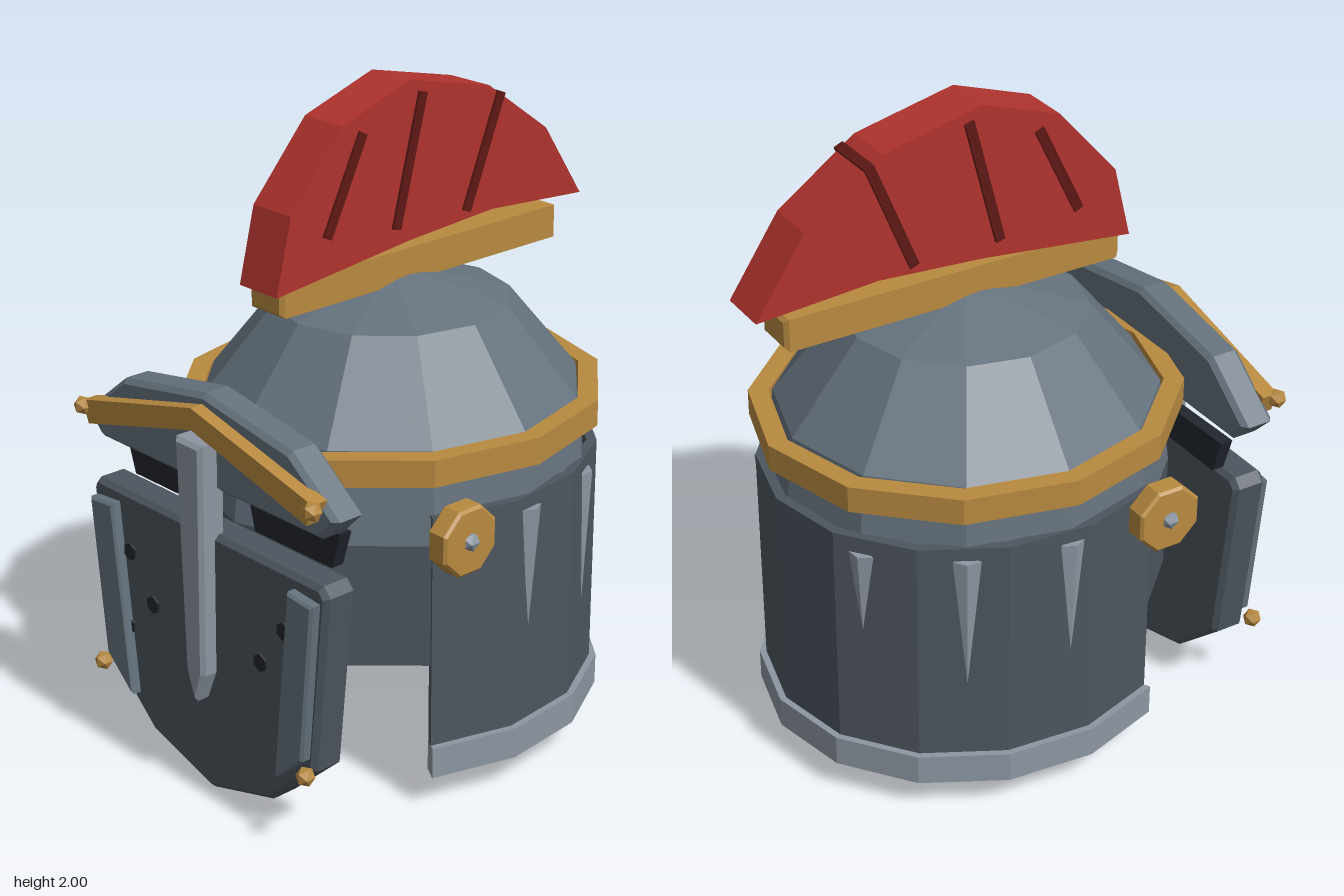
import * as THREE from 'three';

const CZ = -0.035; // centre of the bowl along z
const mat = (color) => new THREE.MeshStandardMaterial({ color, flatShading: true, side: THREE.DoubleSide });
const STEEL = mat(0x65727d), DARK = mat(0x4d565f), BRIGHT = mat(0x8d97a2);
const GOLD = mat(0xb88a40), RED = mat(0xb0332d), MAROON = mat(0x5e1815), BLACK = mat(0x22262e);

export function createModel() {
  const model = new THREE.Group();

  const add = (name, geometry, material, x = 0, y = 0, z = 0) => {
    const mesh = new THREE.Mesh(geometry, material);
    mesh.name = name;
    mesh.position.set(x, y, z);
    model.add(mesh);
    return mesh;
  };

  const shapeOf = (pts) => new THREE.Shape(pts.map(([x, y]) => new THREE.Vector2(x, y)));

  // Slab with chamfered edges, from z0 to z1
  const plate = (pts, z0, z1, bevel = 0.012) =>
    new THREE.ExtrudeGeometry(shapeOf(pts), {
      depth: z1 - z0 - 2 * bevel, bevelEnabled: bevel > 0,
      bevelSize: bevel, bevelThickness: bevel, bevelOffset: -bevel, bevelSegments: 1,
    }).translate(0, 0, z0 + bevel);

  // Half outline, top centre to bottom centre, mirrored across x = 0
  const mirrored = (half) => [
    ...half,
    ...half.filter(([x]) => x !== 0).reverse().map(([x, y]) => [-x, y]),
  ];

  // Upright elliptical wall; angles in degrees, 0 = +x, 90 = back
  const wall = (rx, rz, thick, y0, y1, a0, a1, n) => {
    const outer = [], inner = [];
    for (let i = 0; i <= n; i++) {
      const a = THREE.MathUtils.degToRad(a0 + ((a1 - a0) * i) / n);
      outer.push([rx * Math.cos(a), rz * Math.sin(a)]);
      inner.unshift([(rx - thick) * Math.cos(a), (rz - thick) * Math.sin(a)]);
    }
    return new THREE.ExtrudeGeometry(shapeOf([...outer, ...inner]), { depth: y1 - y0, bevelEnabled: false })
      .rotateX(-Math.PI / 2).translate(0, y0, CZ);
  };

  // Bowl, face wall, neck guard and rims
  const profile = [[0.575, 0.82], [0.55, 1.02], [0.543, 1.09], [0.34, 1.35], [0, 1.45]];
  const dome = new THREE.LatheGeometry(profile.map(([r, y]) => new THREE.Vector2(r, y)), 12);
  add('dome', dome.scale(1, 1, 1.05).translate(0, 0, CZ), STEEL);
  add('faceWall', wall(0.575, 0.604, 0.02, 0.45, 0.82, 210, 330, 4), DARK);
  add('neckGuard', wall(0.58, 0.63, 0.03, 0.15, 0.91, -30, 210, 10), DARK);
  add('neckRim', wall(0.6, 0.65, 0.055, 0.105, 0.2, -30, 210, 10), BRIGHT);
  add('browBand', wall(0.6, 0.645, 0.06, 1.01, 1.09, 0, 360, 12), GOLD);

  // Gouges in the neck guard
  const gouges = [[0, 0.87, 0.5], [29, 0.87, 0.45], [58, 0.86, 0.6]];
  for (const side of [1, -1]) {
    for (const [deg, top, bottom] of gouges) {
      const a = THREE.MathUtils.degToRad(deg);
      const cone = new THREE.ConeGeometry(0.04, top - bottom, 4).rotateX(Math.PI).scale(0.5, 1, 1);
      const gouge = add('gouge', cone, BRIGHT,
        side * 0.572 * Math.cos(a), (top + bottom) / 2, CZ - 0.62 * Math.sin(a));
      gouge.rotation.y = side * a;
    }
  }

  // Crest rail and plume
  add('crestRail', plate([[-0.07, 1.41], [0.07, 1.41], [0.07, 1.51], [-0.07, 1.51]], -0.645, 0.44), GOLD);
  const plume = [[0.465, 1.48], [0.41, 1.7], [0.22, 1.915], [-0.03, 2], [-0.34, 1.93],
    [-0.58, 1.76], [-0.735, 1.53], [-0.36, 1.557], [-0.03, 1.535]];
  add('plume', plate(plume, -0.078, 0.078, 0).rotateY(-Math.PI / 2), RED);
  const grooves = [[0.15, 1.885, 0.285, 1.61], [-0.075, 1.96, 0.025, 1.58], [-0.385, 1.905, -0.25, 1.575]];
  for (const [z0, y0, z1, y1] of grooves) {
    const box = new THREE.BoxGeometry(0.174, Math.hypot(z0 - z1, y0 - y1), 0.03);
    const groove = add('plumeGroove', box, MAROON, 0, (y0 + y1) / 2, (z0 + z1) / 2);
    groove.rotation.x = Math.atan2(z0 - z1, y0 - y1);
  }

  // Visor plates
  add('visorLower', plate(mirrored([[0.49, 0.83], [0.515, 0.8], [0.455, 0.25], [0.265, 0.08], [0, 0.003]]),
    0.57, 0.68, 0.015), DARK);
  add('visorBrow', plate(mirrored([[0, 1.235], [0.36, 1.175], [0.545, 1.03], [0.476, 0.96]]),
    0.565, 0.67, 0.015), STEEL);
  add('browTrim', plate(mirrored([[0, 1.205], [0.5, 1.082], [0.475, 1.015], [0, 1.14]]), 0.66, 0.712, 0), GOLD);
  add('noseGuard', plate(mirrored([[0.057, 1.11], [0.04, 0.4], [0, 0.305]]), 0.64, 0.73), BRIGHT);

  // Paired visor details
  for (const s of [1, -1]) {
    const flip = (pts) => pts.map(([x, y]) => [s * x, y]);
    add('eyeSlit', plate(flip([[0.465, 0.945], [0.085, 0.935], [0.11, 0.835], [0.43, 0.835]]), 0.545, 0.585, 0), BLACK);
    add('cheekPlate', plate(flip([[0.49, 0.78], [0.385, 0.79], [0.323, 0.19], [0.44, 0.29]]), 0.66, 0.712, 0.008), STEEL);
    for (const [x, y] of [[0.34, 0.645], [0.24, 0.51], [0.36, 0.4]]) {
      add('breathHole', new THREE.CylinderGeometry(0.028, 0.028, 0.02, 6).rotateX(Math.PI / 2), BLACK, s * x, y, 0.677);
    }
    for (const [x, y] of [[0.498, 1.065], [0.457, 0.255]]) {
      add('rivet', new THREE.IcosahedronGeometry(0.029, 0), GOLD, s * x, y, 0.712);
    }

    // Visor pivot: bevelled octagon with a bolt
    const octagon = Array.from({ length: 8 }, (_, i) => {
      const a = ((i + 0.5) * Math.PI) / 4;
      return [0.106 * Math.cos(a), 0.106 * Math.sin(a)];
    });
    add('pivotDisc', plate(octagon, -0.035, 0.035, 0.008).rotateY(Math.PI / 2), GOLD, s * 0.592, 0.875, 0.255);
    add('pivotBolt', new THREE.IcosahedronGeometry(0.03, 0), BRIGHT, s * 0.62, 0.875, 0.255);
  }

  return model;
}
